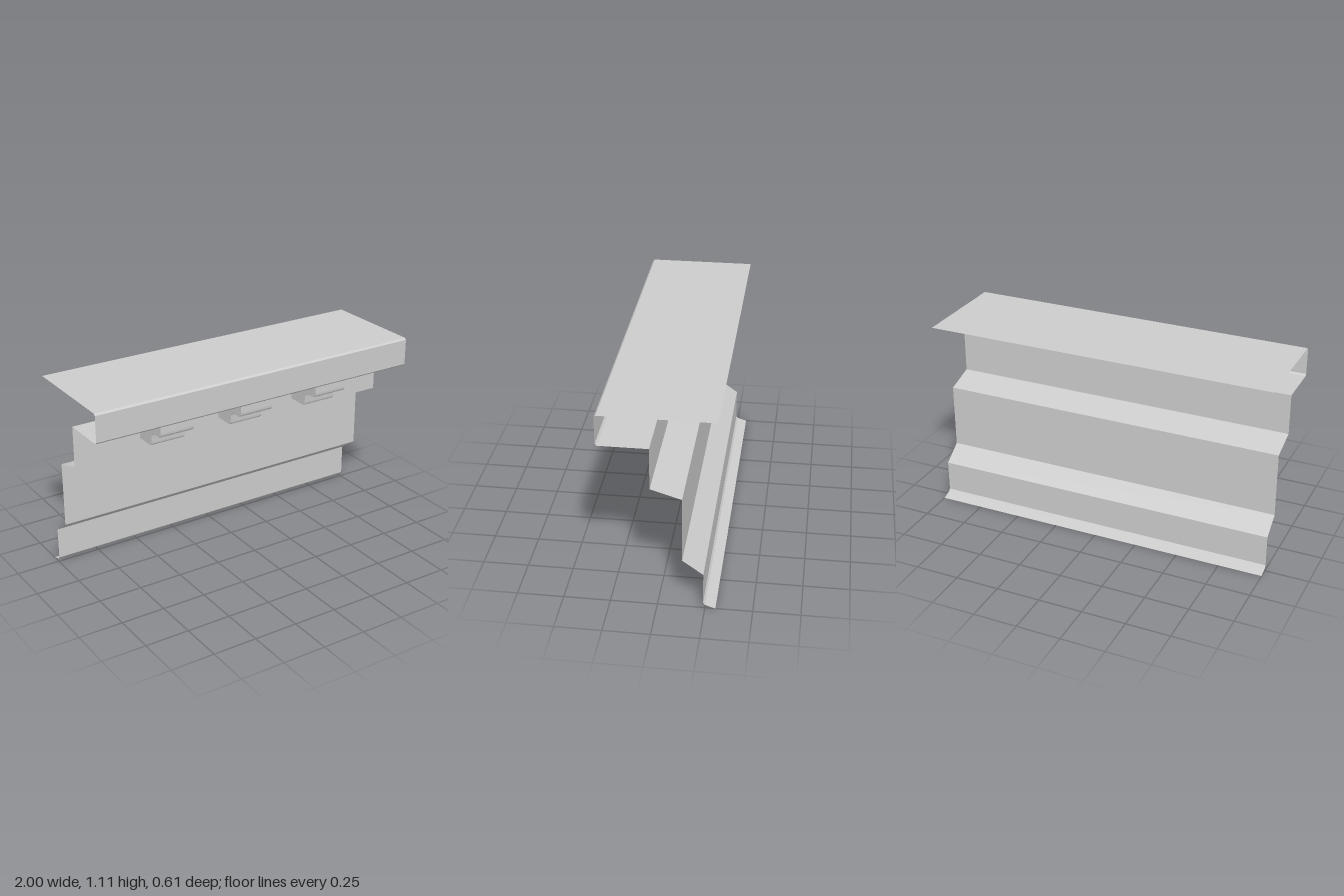
import * as THREE from 'three';

const LENGTH = 2;
const WALL_Z = 0.033;

// Folded sheet: an open [z, y] profile swept along x, one flat strip per fold.
function foldedSheet(profile) {
  const h = LENGTH / 2;
  const pos = [];
  for (let i = 0; i < profile.length - 1; i++) {
    const [z0, y0] = profile[i];
    const [z1, y1] = profile[i + 1];
    pos.push(-h, y0, z0, -h, y1, z1, h, y1, z1);
    pos.push(-h, y0, z0, h, y1, z1, h, y0, z0);
  }
  const geo = new THREE.BufferGeometry();
  geo.setAttribute('position', new THREE.Float32BufferAttribute(pos, 3));
  geo.computeVertexNormals();
  return geo;
}

// Stepped bracket with rounded undersides, drawn in (z, y) and extruded along x.
function bracketGeometry(width) {
  const s = new THREE.Shape();
  s.moveTo(WALL_Z, 0.94);
  s.lineTo(WALL_Z, 0.78);
  s.lineTo(0.142, 0.78);
  s.quadraticCurveTo(0.158, 0.78, 0.159, 0.80);
  s.lineTo(0.162, 0.835);
  s.quadraticCurveTo(0.164, 0.86, 0.182, 0.86);
  s.lineTo(0.235, 0.86);
  s.quadraticCurveTo(0.26, 0.86, 0.26, 0.888);
  s.lineTo(0.26, 0.94);
  s.closePath();
  const geo = new THREE.ExtrudeGeometry(s, { depth: width, bevelEnabled: false, curveSegments: 4 });
  geo.rotateY(-Math.PI / 2);
  geo.translate(width / 2, 0, 0);
  return geo;
}

export function createModel() {
  const group = new THREE.Group();
  const sheetMaterial = new THREE.MeshStandardMaterial({
    color: 0xcccccc, flatShading: true, side: THREE.DoubleSide,
  });
  const bracketMaterial = new THREE.MeshStandardMaterial({ color: 0xcccccc, flatShading: true });

  const addSheet = (name, profile) => {
    const mesh = new THREE.Mesh(foldedSheet(profile), sheetMaterial);
    mesh.name = name;
    group.add(mesh);
  };

  // Top slab, its chamfered front edge and the soffit back to the wall
  addSheet('ledge', [
    [-0.305, 1.11], [0.292, 1.11], [0.302, 1.10], [0.302, 0.952], [0.292, 0.942], [WALL_Z, 0.942],
  ]);

  // Wall stepping backwards on its way down, ending in a small foot lip
  addSheet('steppedWall', [
    [WALL_Z, 0.942], [WALL_Z, 0.71],
    [-0.13, 0.66], [-0.13, 0.29],
    [-0.24, 0.21], [-0.24, 0.03],
    [-0.25, 0.018], [-0.305, 0],
  ]);

  // Three brackets under the ledge
  const bracket = bracketGeometry(0.205);
  for (const x of [-0.5, 0, 0.5]) {
    const mesh = new THREE.Mesh(bracket, bracketMaterial);
    mesh.name = 'bracket';
    mesh.position.x = x - 0.003;
    group.add(mesh);
  }

  return group;
}
